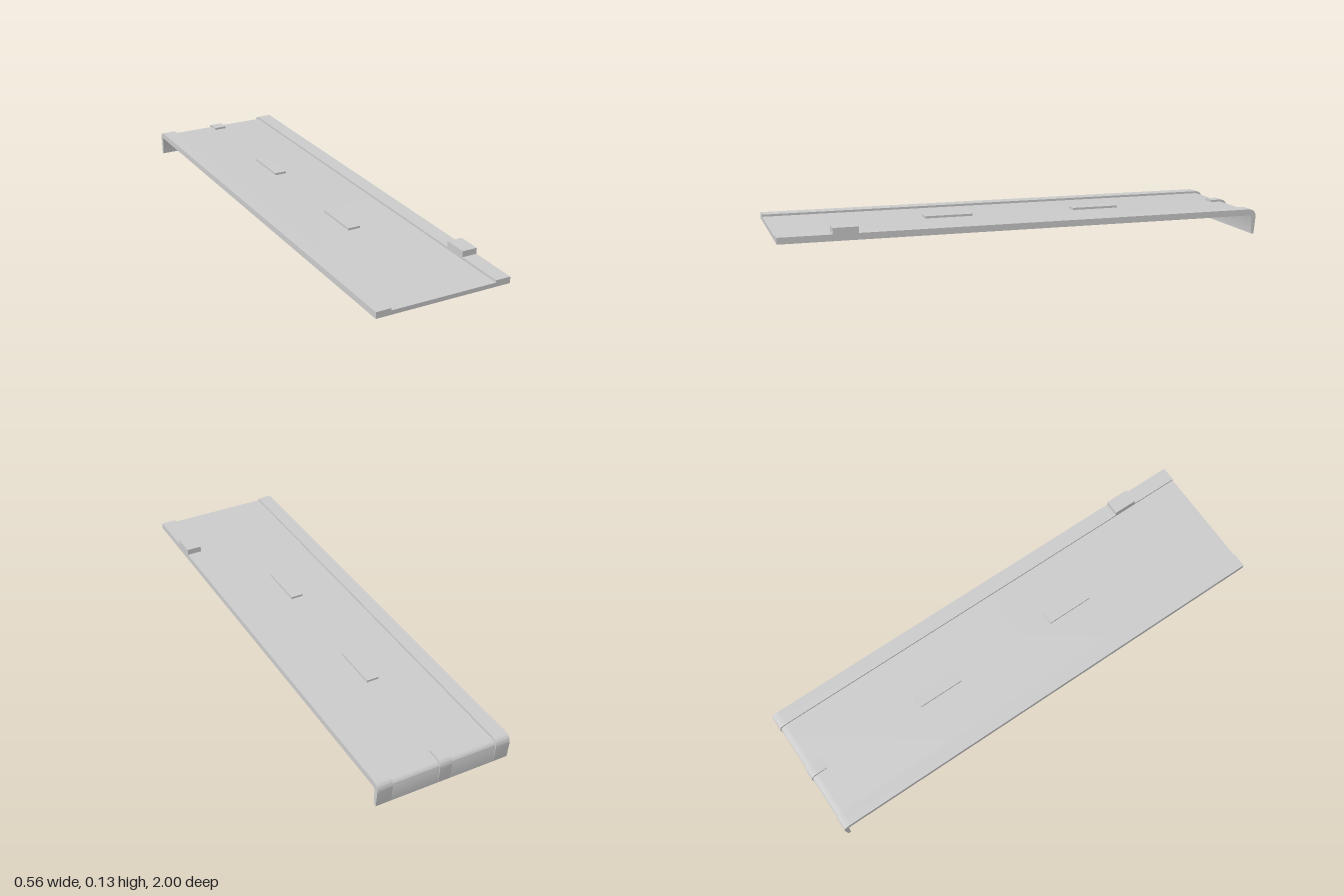
import * as THREE from 'three';
import { toCreasedNormals } from 'three/addons/utils/BufferGeometryUtils.js';

const UNDER = 0.078, DECK = 0.095, RAISED = 0.104;

export function createModel() {
  const model = new THREE.Group();
  const material = new THREE.MeshStandardMaterial({ color: 0xcccccc });

  const add = (name, geometry) => {
    const mesh = new THREE.Mesh(geometry, material);
    mesh.name = name;
    model.add(mesh);
  };

  // Box given by its limits
  const block = (name, x0, x1, y0, y1, z0, z1) => {
    const geometry = new THREE.BoxGeometry(x1 - x0, y1 - y0, z1 - z0);
    geometry.translate((x0 + x1) / 2, (y0 + y1) / 2, (z0 + z1) / 2);
    add(name, geometry);
  };

  // Side profile (distance towards the back, height) swept across x,
  // bending over the back edge into a thin hanging lip
  const bentStrip = (name, x0, x1, front, top, back) => {
    const s = new THREE.Shape();
    s.moveTo(front, UNDER);
    s.lineTo(0.976, UNDER);
    s.lineTo(0.979, 0.07);
    s.lineTo(0.982, 0);
    s.lineTo(0.993, 0);
    s.lineTo(back, 0.07);
    s.bezierCurveTo(back, top - 0.01, back - 0.012, top, back - 0.035, top);
    s.lineTo(front, top);
    s.closePath();
    const geometry = new THREE.ExtrudeGeometry(s, { depth: x1 - x0, bevelEnabled: false, curveSegments: 10 });
    geometry.rotateY(Math.PI / 2);
    geometry.translate(x0, 0, 0);
    add(name, toCreasedNormals(geometry, 0.6));
  };

  // Deck with a raised rail along each side
  bentStrip('deck', -0.22, 0.218, -1, DECK, 0.996);
  bentStrip('rightRail', -0.281, -0.22, -1, RAISED, 1);
  bentStrip('leftRail', 0.218, 0.281, -1, RAISED, 1);

  // Centre line pads, the last one folding over the back edge
  for (const [z0, z1] of [[-0.475, -0.275], [0.17, 0.37]]) {
    block('centrePad', -0.031, 0.021, DECK - 0.005, RAISED, z0, z1);
  }
  bentStrip('backPad', -0.031, 0.021, 0.925, RAISED, 1);

  // Stop block on the left rail
  block('stopBlock', 0.218, 0.281, RAISED - 0.005, 0.129, 0.69, 0.79);

  return model;
}
